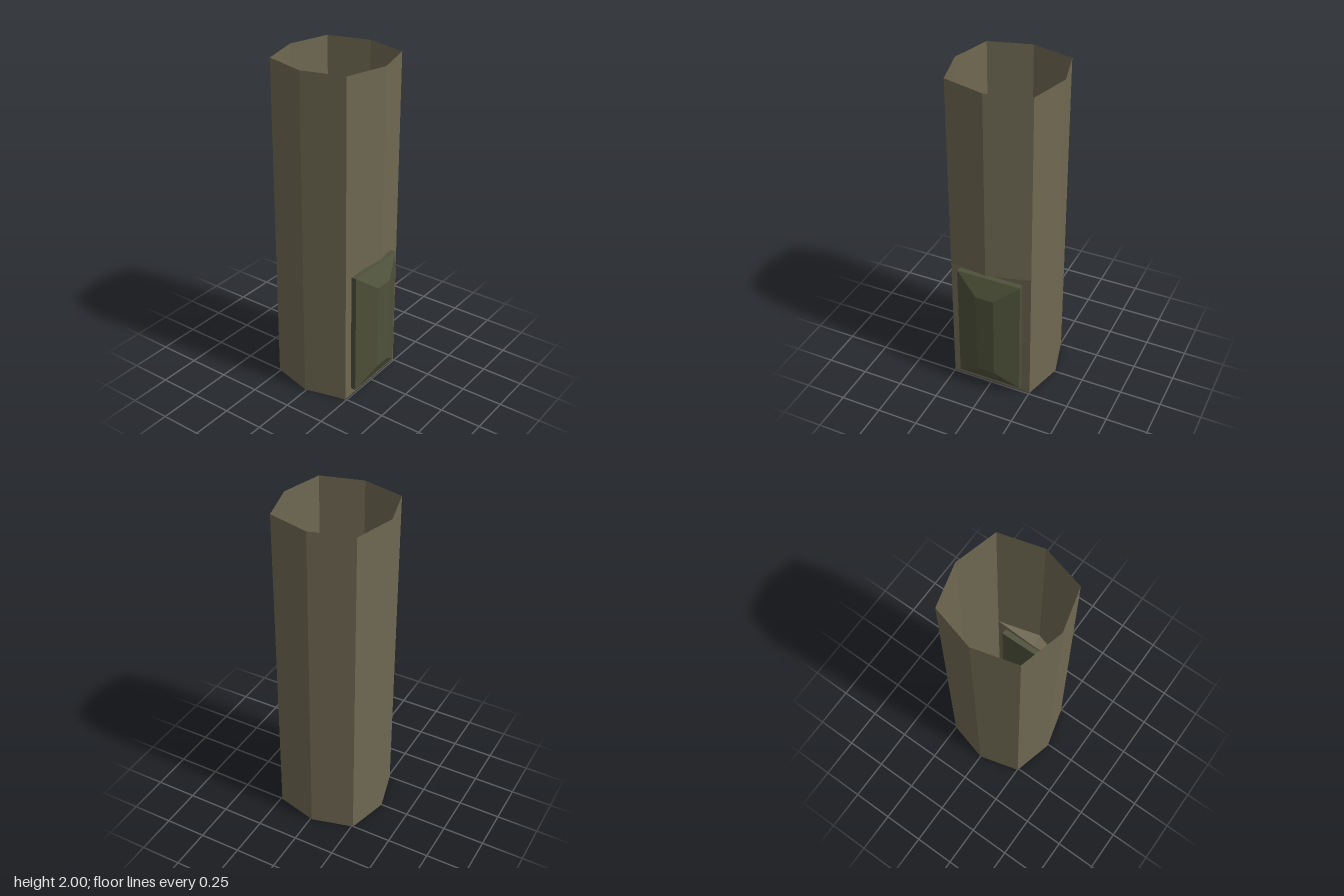
import * as THREE from 'three';

const material = (color) =>
  new THREE.MeshStandardMaterial({ color, flatShading: true, side: THREE.DoubleSide });

function addMesh(group, name, geometry, mat) {
  const mesh = new THREE.Mesh(geometry, mat);
  mesh.name = name;
  group.add(mesh);
  return mesh;
}

// Open-ended wall through a stack of rings, each a list of [x, y, z]
function loft(rings) {
  const n = rings[0].length;
  const index = [];
  for (let r = 0; r < rings.length - 1; r++) {
    for (let i = 0; i < n; i++) {
      const a = r * n + i, b = r * n + (i + 1) % n;
      index.push(a, b, b + n, a, b + n, a + n);
    }
  }
  const geometry = new THREE.BufferGeometry();
  geometry.setAttribute('position', new THREE.Float32BufferAttribute(rings.flat(2), 3));
  geometry.setIndex(index);
  geometry.computeVertexNormals();
  return geometry;
}

// Upright prism from a mirrored half outline of [x, z], front to back
function prism(half, y0, y1) {
  const mirrored = half.filter(([x]) => x > 0).reverse().map(([x, z]) => [-x, z]);
  const shape = new THREE.Shape([...half, ...mirrored].map(([x, z]) => new THREE.Vector2(x, -z)));
  const geometry = new THREE.ExtrudeGeometry(shape, { depth: y1 - y0, bevelEnabled: false });
  return geometry.rotateX(-Math.PI / 2).translate(0, y0, 0);
}

// Bevelled slab: a box base whose front tapers to a smaller face
function bevelledPanel(w, h, zBack, zEdge, zFront, frontW, frontH) {
  const ring = (a, b, z) => [[-a / 2, -b / 2, z], [a / 2, -b / 2, z], [a / 2, b / 2, z], [-a / 2, b / 2, z]];
  return loft([
    ring(0, 0, zBack), ring(w, h, zBack), ring(w, h, zEdge),
    ring(frontW, frontH, zFront), ring(0, 0, zFront),
  ]);
}

export function createModel() {
  const group = new THREE.Group();
  const brown = material(0x6f6852);
  const green = material(0x4e513a);

  // Eight-sided shell: flat front low down, pointed front above the overhang
  const ring = (y, front) => [
    [0, y, front], [0.252, y, 0.241], [0.318, y, -0.009], [0.252, y, -0.259],
    [0, y, -0.327], [-0.252, y, -0.259], [-0.318, y, -0.009], [-0.252, y, 0.241],
  ];
  addMesh(group, 'shell', loft([
    ring(0, 0.241), ring(0.83, 0.241), ring(0.86, 0.309), ring(2, 0.309),
  ]), brown);

  // Inner base and the smaller step on it
  addMesh(group, 'innerBase', prism(
    [[0.198, 0.24], [0.253, 0], [0.21, -0.235], [0, -0.268]], 0.035, 0.1), brown);
  addMesh(group, 'innerStep', prism(
    [[0.13, 0.05], [0.167, -0.08], [0.138, -0.208], [0, -0.248]], 0.1, 0.14), brown);

  // Small upright panel at the back of the step
  addMesh(group, 'innerPanel',
    bevelledPanel(0.24, 0.2, -0.2, -0.197, -0.187, 0.2, 0.04), green).position.y = 0.24;

  // Bevelled door on the lower front
  addMesh(group, 'door',
    bevelledPanel(0.396, 0.76, 0.207, 0.273, 0.327, 0.11, 0.54), green).position.y = 0.43;

  return group;
}
